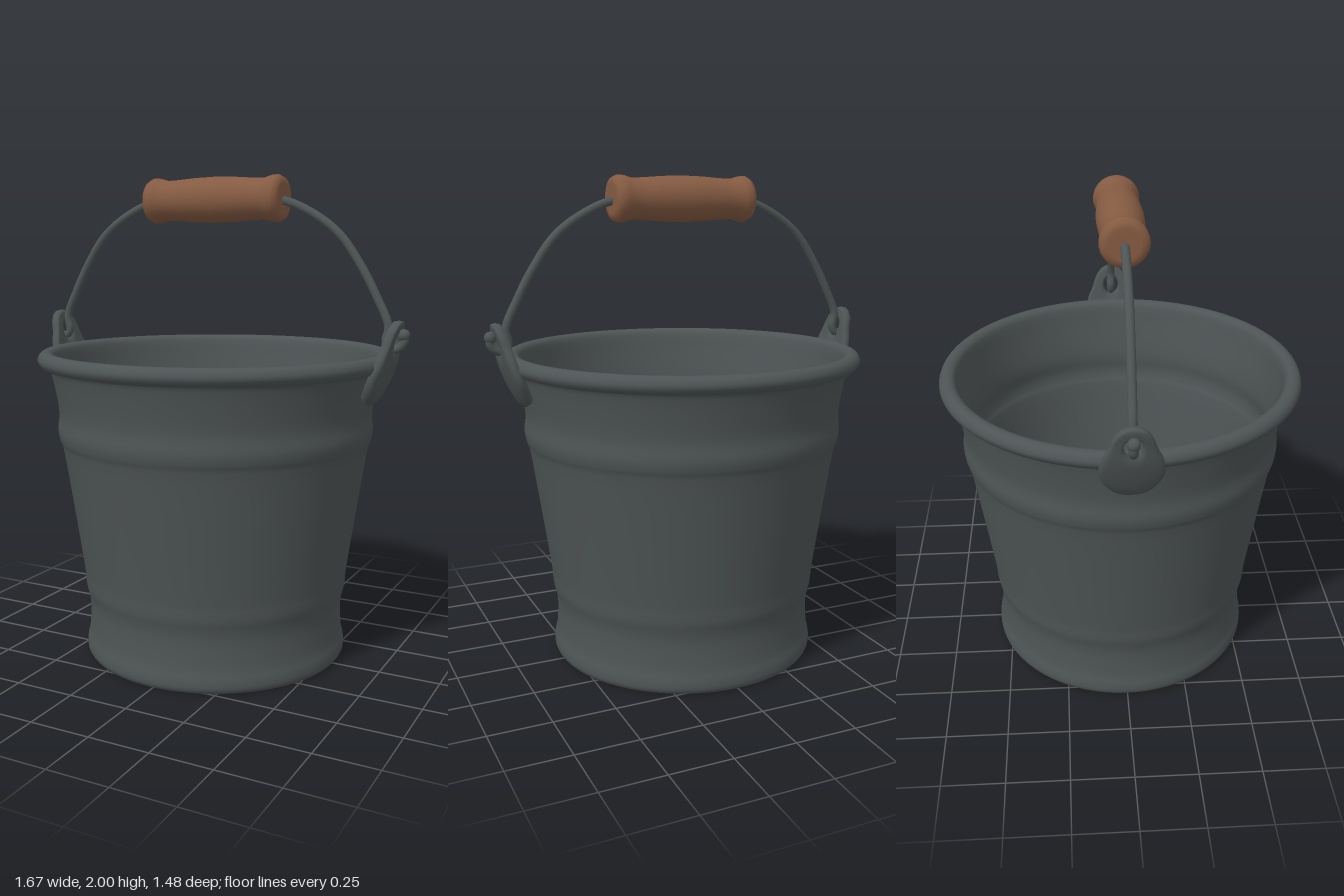
import * as THREE from 'three';

const metal = new THREE.MeshStandardMaterial({ color: 0x4e5455 });
metal.name = 'dark metal';
const wood = new THREE.MeshStandardMaterial({ color: 0x855b42 });
wood.name = 'brown wood';

function add(parent, name, geometry, material) {
  const mesh = new THREE.Mesh(geometry, material);
  mesh.name = name;
  parent.add(mesh);
  return mesh;
}

const vec2 = (list) => list.map(([r, y]) => new THREE.Vector2(r, y));
const lathe = (list, smooth = 0, sides = 72) => {
  const pts = vec2(list);
  return new THREE.LatheGeometry(smooth ? new THREE.SplineCurve(pts).getPoints(smooth) : pts, sides);
};

// Ear plate: rings between a hole and an egg-shaped outline, bent along the wall
function earGeometry() {
  const half = [[0.06, 1.113], [0.102, 1.165], [0.12, 1.225], [0.108, 1.29], [0.086, 1.34], [0.068, 1.39], [0.038, 1.425]];
  const loop = [[0, 1.1], ...half, [0, 1.436], ...half.map(([z, y]) => [-z, y]).reverse()];
  const outline = new THREE.CatmullRomCurve3(loop.map(([z, y]) => new THREE.Vector3(0, y, z)), true);
  const lean = new THREE.SplineCurve(vec2([[0.687, 1.1], [0.722, 1.184], [0.751, 1.268], [0.769, 1.352], [0.788, 1.436]]));
  const section = [[0, 0], [0.06, 1], [0.25, 1], [0.5, 1], [0.75, 1], [0.93, 0.8], [1, 0],
    [0.93, -0.9], [0.75, -1], [0.5, -1], [0.25, -1], [0.06, -1]];
  const N = 48, M = section.length, holeY = 1.35, pos = [], index = [];
  for (let i = 0; i < N; i++) {
    const p = outline.getPoint(i / N);
    const a = Math.atan2(p.y - holeY, p.z);
    const hz = 0.033 * Math.cos(a), hy = holeY + 0.04 * Math.sin(a);
    section.forEach(([t, side], j) => {
      const z = hz + (p.z - hz) * t, y = hy + (p.y - hy) * t;
      const x = lean.getPoint((y - 1.1) / 0.336).x - 0.7 * z * z;
      // The back thickens below the rim to meet the wall
      const thick = side < 0 ? 0.018 + 0.12 * Math.max(0, 1.27 - y) : 0.018;
      pos.push(x + side * thick, y, z);
      const k = ((i + 1) % N) * M, n = (j + 1) % M;
      index.push(i * M + j, k + j, i * M + n, i * M + n, k + j, k + n);
    });
  }
  const g = new THREE.BufferGeometry();
  g.setAttribute('position', new THREE.Float32BufferAttribute(pos, 3));
  g.setIndex(index);
  g.computeVertexNormals();
  return g;
}

export function createModel() {
  const model = new THREE.Group();
  model.name = 'bucket';

  // Body: ribbed outer wall, rolled rim and inner wall
  const outer = [[0.548, 0.002], [0.558, 0.02], [0.557, 0.055], [0.547, 0.1], [0.542, 0.19], [0.547, 0.245], [0.558, 0.29],
    [0.562, 0.33], [0.567, 0.38], [0.605, 0.64], [0.642, 0.88], [0.656, 0.925], [0.663, 0.97], [0.657, 1.03],
    [0.665, 1.1], [0.685, 1.2]];
  const rim = [[0.7, 1.226], [0.722, 1.228], [0.74, 1.255], [0.73, 1.283], [0.705, 1.294], [0.68, 1.284], [0.668, 1.255]];
  const inner = outer.slice(4).reverse().map(([r, y]) => [r - 0.027, y]);
  const body = new THREE.Group();
  body.name = 'body';
  model.add(body);
  add(body, 'wall', lathe([...outer, ...rim, ...inner, [0.507, 0.1], [0.5, 0.045]], 110), metal);
  add(body, 'underside', lathe([[0, 0], [0.535, 0], [0.548, 0.002]]), metal);
  add(body, 'floor', lathe([[0.505, 0.05], [0, 0.05]]), metal);

  // Ears on both sides
  const ear = earGeometry();
  add(model, 'leftEar', ear, metal);
  add(model, 'rightEar', ear, metal).rotation.y = Math.PI;

  // Wire bail with a hook through each ear
  const side = [[0.29, 1.9], [0.42, 1.85], [0.54, 1.765], [0.63, 1.645], [0.7, 1.52], [0.748, 1.41], [0.738, 1.352],
    [0.755, 1.324], [0.785, 1.327], [0.812, 1.354], [0.811, 1.385]];
  const path = [...side.map(([x, y]) => [-x, y]).reverse(), [0, 1.91], ...side];
  const curve = new THREE.CatmullRomCurve3(path.map(([x, y]) => new THREE.Vector3(x, y, 0)));
  add(model, 'wireHandle', new THREE.TubeGeometry(curve, 160, 0.017, 12), metal);
  for (const s of [-1, 1]) {
    const tip = add(model, s > 0 ? 'leftHookTip' : 'rightHookTip', new THREE.SphereGeometry(0.024, 16, 12), metal);
    tip.position.set(s * 0.81, 1.38, 0);
  }

  // Turned grip with flared ends
  const end = [[0, 0.303], [0.06, 0.305], [0.083, 0.301], [0.094, 0.28], [0.092, 0.255], [0.082, 0.222], [0.084, 0.17], [0.09, 0.09]];
  const grip = lathe([...end.map(([r, y]) => [r, -y]), [0.093, 0], ...end.slice().reverse()], 0, 40);
  grip.rotateZ(Math.PI / 2);
  add(model, 'grip', grip, wood).position.y = 1.906;

  return model;
}
